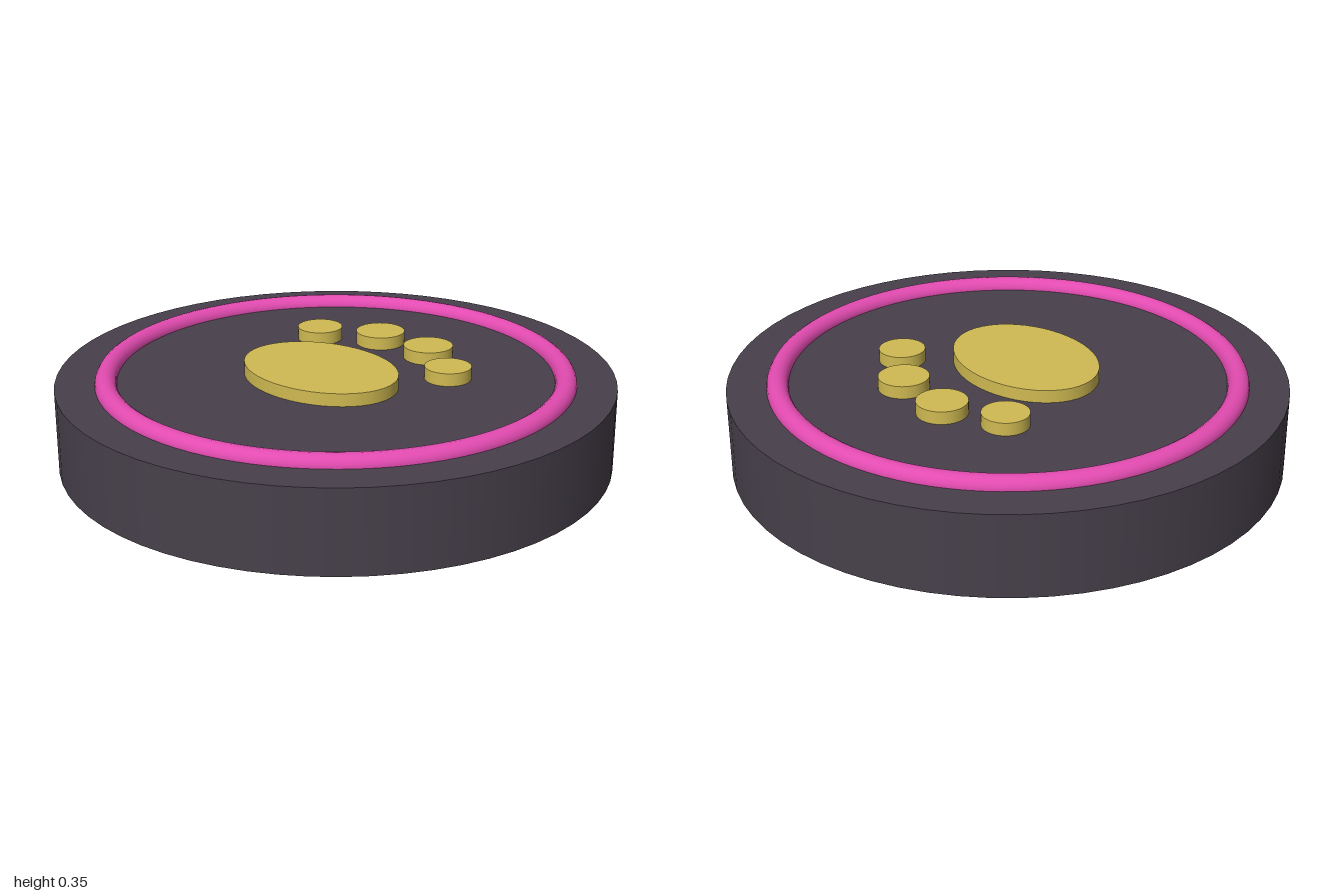
import * as THREE from 'three';

export function createModel() {
  const group = new THREE.Group();
  const material = (name, color) => {
    const m = new THREE.MeshStandardMaterial({ color });
    m.name = name;
    return m;
  };
  const charcoal = material('charcoal', 0x47404b);
  const pink = material('pink', 0xe24bb0);
  const gold = material('gold', 0xd0ba52);

  const add = (name, geometry, mat, x, y, z) => {
    const mesh = new THREE.Mesh(geometry, mat);
    mesh.name = name;
    mesh.position.set(x, y, z);
    group.add(mesh);
    return mesh;
  };

  // Round base
  const baseHeight = 0.3;
  add('base', new THREE.CylinderGeometry(1, 1, baseHeight, 64), charcoal, 0, baseHeight / 2, 0);

  // Ring half sunk into the top
  const ring = new THREE.TorusGeometry(0.82, 0.039, 16, 96).rotateX(Math.PI / 2);
  add('ring', ring, pink, 0, baseHeight, 0);

  // Raised paw: one oval pad and two mirrored pairs of toes
  const padHeight = 0.047;
  const pad = (name, x, z, rx, rz) => {
    const geometry = new THREE.CylinderGeometry(1, 1, padHeight, 48).scale(rx, 1, rz);
    add(name, geometry, gold, x, baseHeight + padHeight / 2, z);
  };
  pad('mainPad', 0, 0.078, 0.31, 0.233);
  for (const side of [-1, 1]) {
    const label = side > 0 ? 'left' : 'right';
    pad(label + 'InnerToe', side * 0.12, -0.365, 0.091, 0.091);
    pad(label + 'OuterToe', side * 0.32, -0.243, 0.084, 0.084);
  }

  return group;
}
